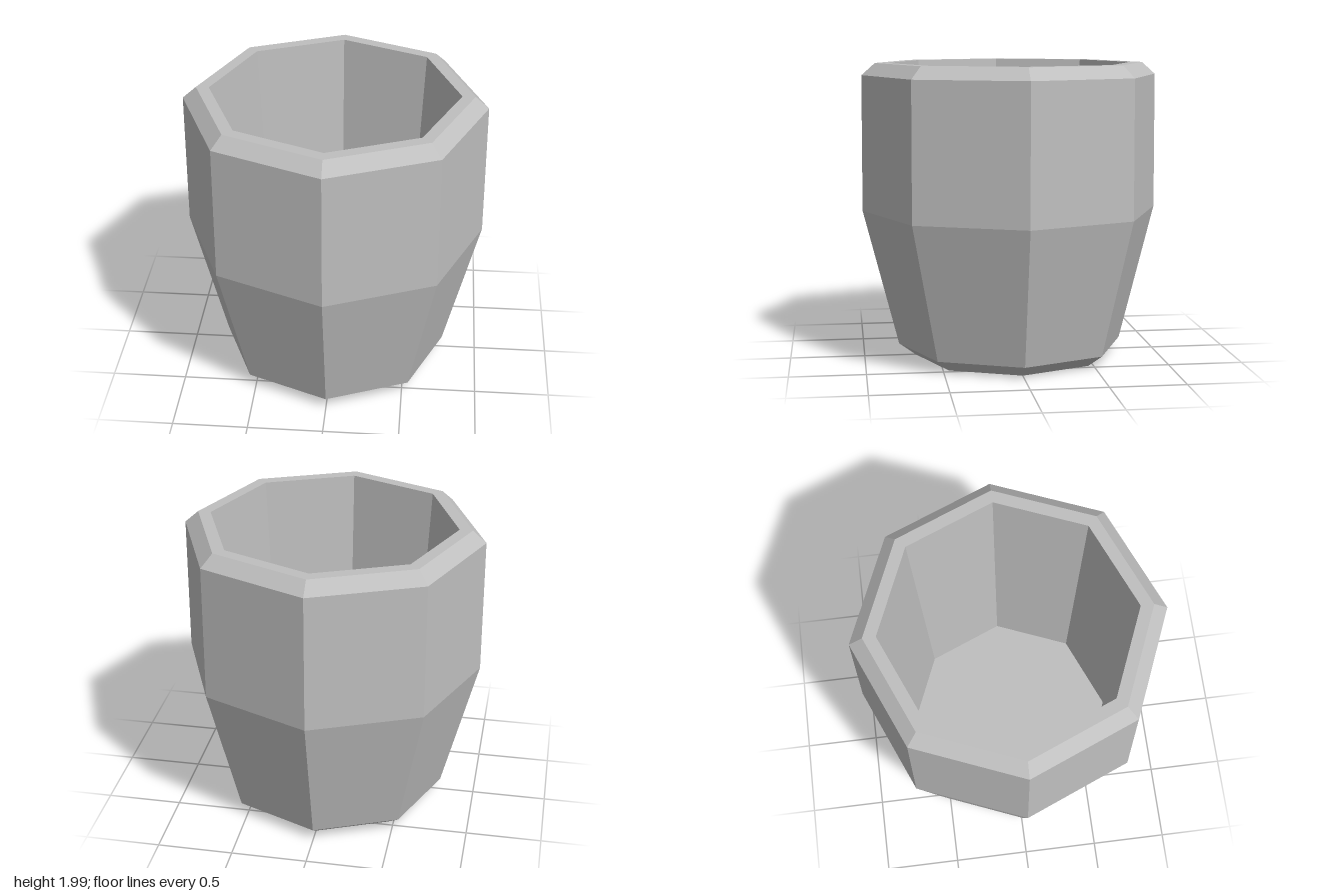
import * as THREE from 'three';

const SIDES = 8;

export function createModel() {
  const group = new THREE.Group();
  group.name = 'cup';
  const grey = new THREE.MeshStandardMaterial({ color: 0xbfbfbf, flatShading: true });
  grey.name = 'grey';

  // Turns a profile of [radius, height] points into a faceted octagonal part
  const addPart = (name, profile) => {
    const points = profile.map(([r, y]) => new THREE.Vector2(r, y));
    const geometry = new THREE.LatheGeometry(points, SIDES).toNonIndexed();
    geometry.computeVertexNormals();
    const mesh = new THREE.Mesh(geometry, grey);
    mesh.name = name;
    group.add(mesh);
  };

  // Closed underside with its bevelled edge
  addPart('base', [[0, 0], [0.655, 0], [0.765, 0.08]]);
  // Tapered lower half and nearly straight upper half
  addPart('outerWall', [[0.765, 0.08], [1, 1], [0.995, 1.91]]);
  // Bevelled lip with a flat top
  addPart('rim', [[0.995, 1.91], [0.905, 1.99], [0.82, 1.99]]);
  // Hollow narrowing to a flat floor
  addPart('innerWall', [[0.82, 1.99], [0.7, 0.2]]);
  addPart('floor', [[0.7, 0.2], [0, 0.2]]);

  return group;
}
